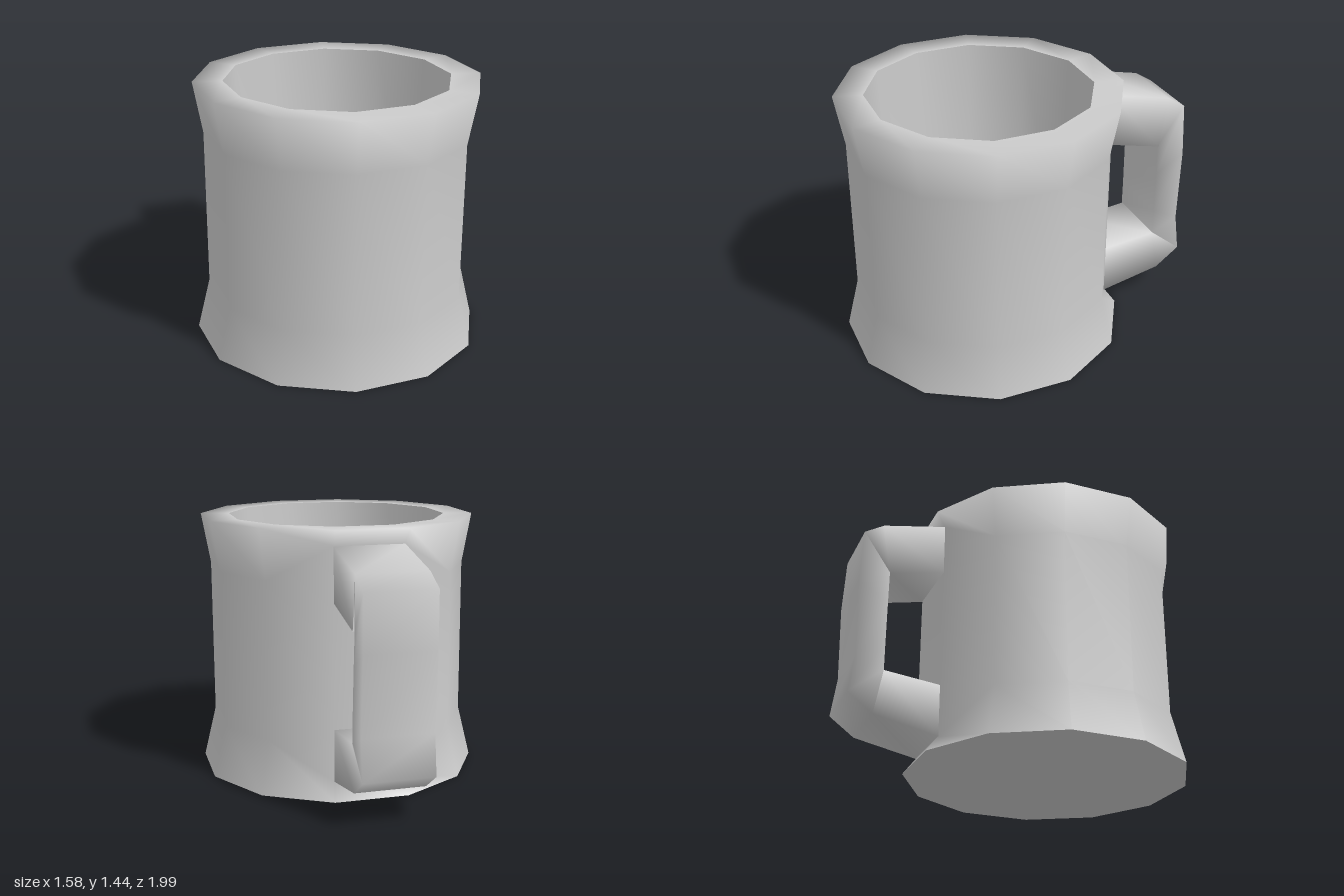
import * as THREE from 'three';
import { mergeVertices } from 'three/addons/utils/BufferGeometryUtils.js';

const SIDES = 12;
const material = new THREE.MeshStandardMaterial({ color: 0xcccccc });

// Weld the vertices so that shading runs smoothly over the whole surface.
function smooth(geometry) {
  geometry.deleteAttribute('uv');
  geometry.deleteAttribute('normal');
  const welded = mergeVertices(geometry, 1e-4);
  welded.computeVertexNormals();
  return welded;
}

function addMesh(group, name, geometry) {
  const mesh = new THREE.Mesh(geometry, material);
  mesh.name = name;
  group.add(mesh);
  return mesh;
}

const lathe = (profile) =>
  new THREE.LatheGeometry(profile.map(([r, y]) => new THREE.Vector2(r, y)), SIDES);

// Flared outer wall with the flat rim; the panel under the handle stays flat for longer.
function outerWall() {
  const profile = [[0.79, 0], [0.72, 0.29], [0.72, 1.16], [0.77, 1.44], [0.61, 1.44]];
  const geometry = lathe(profile);
  const position = geometry.attributes.position;
  for (const column of [5, 6]) {
    position.setY(column * profile.length + 1, 0.09);
    position.setY(column * profile.length + 2, 1.355);
  }
  return smooth(geometry);
}

// Flat twelve-sided disc facing up or down.
function disc(radius, y, up) {
  const geometry = new THREE.CircleGeometry(radius, SIDES);
  geometry.rotateX(up ? -Math.PI / 2 : Math.PI / 2);
  return geometry.translate(0, y, 0);
}

// Angular handle: a rectangular section carried along a C-shaped path.
// Each section: outer distance, outer height, inner distance, inner height, sideways shift.
function handleGeometry() {
  const sections = [
    [0.69, 1.355, 0.69, 1.06, 0],
    [1.05, 1.27, 1.006, 0.98, 0.015],
    [1.158, 1.2, 1.006, 0.98, 0.025],
    [1.172, 0.9, 1.006, 0.8, 0.02],
    [1.16, 0.48, 1.006, 0.56, 0.015],
    [1.19, 0.26, 1.006, 0.41, 0.015],
    [1.05, 0.16, 1.006, 0.41, 0.01],
    [0.69, 0.09, 0.69, 0.38, 0],
  ];
  const halfWidth = 0.19;
  const positions = [];
  const index = [];
  sections.forEach(([outD, outY, inD, inY, shift], s) => {
    const right = shift + halfWidth;
    const left = shift - halfWidth;
    positions.push(right, outY, outD, left, outY, outD, left, inY, inD, right, inY, inD);
    if (s === sections.length - 1) return;
    for (let k = 0; k < 4; k++) {
      const a = s * 4 + k;
      const b = s * 4 + ((k + 1) % 4);
      index.push(a, b, b + 4, a, b + 4, a + 4);
    }
  });
  const geometry = new THREE.BufferGeometry();
  geometry.setAttribute('position', new THREE.Float32BufferAttribute(positions, 3));
  geometry.setIndex(index);
  return smooth(geometry);
}

export function createModel() {
  const mug = new THREE.Group();
  mug.name = 'mug';
  mug.position.z = 0.2;

  addMesh(mug, 'outerWall', outerWall());
  addMesh(mug, 'innerWall', smooth(lathe([[0.61, 1.44], [0.575, 0.14]])));
  addMesh(mug, 'innerFloor', disc(0.575, 0.14, true));
  addMesh(mug, 'base', disc(0.79, 0, false));

  // The handle sits on the back panel, turned slightly to the left.
  const handle = addMesh(mug, 'handle', handleGeometry());
  handle.rotation.y = THREE.MathUtils.degToRad(165);

  const model = new THREE.Group();
  model.add(mug);
  return model;
}
